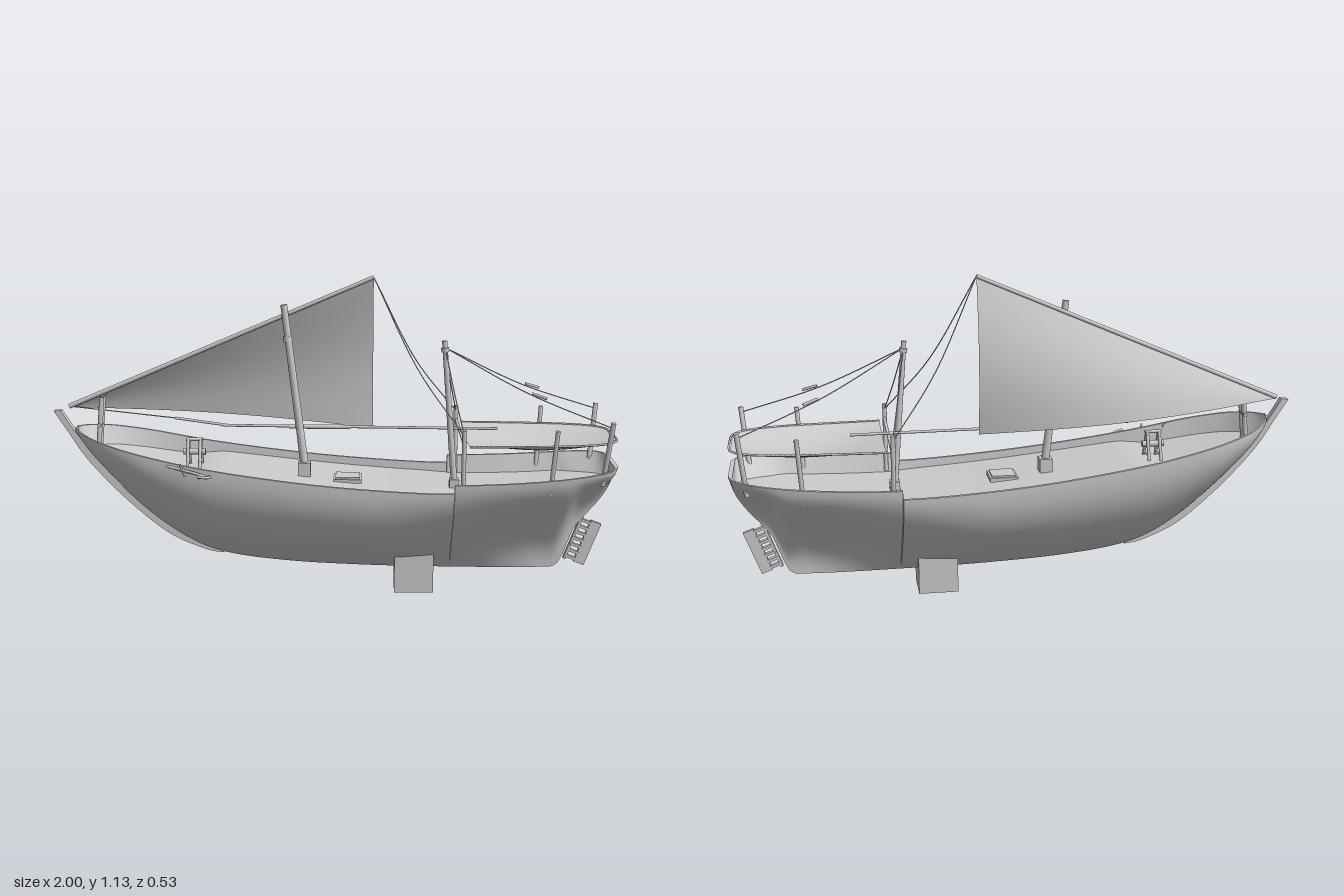
import * as THREE from 'three';
import { toCreasedNormals } from 'three/addons/utils/BufferGeometryUtils.js';

const CZ = -0.022; // centreline of the boat
const mat = new THREE.MeshStandardMaterial({ color: 0xcccccc });
const thin = new THREE.MeshStandardMaterial({ color: 0xcccccc, side: THREE.DoubleSide });
const V = (x, y, z) => new THREE.Vector3(x, y, z);
const lerp = THREE.MathUtils.lerp;

// Smooth function through [x, y] points
function curve(pts) {
  const slope = i => {
    const a = pts[Math.max(i - 1, 0)], b = pts[Math.min(i + 1, pts.length - 1)];
    return (b[1] - a[1]) / (b[0] - a[0]);
  };
  return x => {
    let i = 0;
    while (i < pts.length - 2 && x > pts[i + 1][0]) i++;
    const [x0, y0] = pts[i], [x1, y1] = pts[i + 1], h = x1 - x0;
    const t = THREE.MathUtils.clamp((x - x0) / h, 0, 1), t2 = t * t, t3 = t2 * t;
    return y0 * (2 * t3 - 3 * t2 + 1) + y1 * (3 * t2 - 2 * t3)
      + h * (slope(i) * (t3 - 2 * t2 + t) + slope(i + 1) * (t3 - t2));
  };
}

// Surface from rows of points
function loft(rows) {
  const n = rows[0].length, pos = [], idx = [];
  rows.forEach(r => r.forEach(p => pos.push(p.x, p.y, p.z)));
  for (let i = 0; i < rows.length - 1; i++) for (let j = 0; j < n - 1; j++) {
    const a = i * n + j, b = a + n;
    idx.push(a, b, a + 1, b, b + 1, a + 1);
  }
  const g = new THREE.BufferGeometry();
  g.setAttribute('position', new THREE.Float32BufferAttribute(pos, 3));
  g.setIndex(idx);
  g.computeVertexNormals();
  return g;
}
const grid = (nu, nv, fn) => loft(Array.from({ length: nu + 1 }, (_, i) =>
  Array.from({ length: nv + 1 }, (_, j) => fn(i / nu, j / nv))));

// Hull lines
const keel = curve([[-0.925, 0.572], [-0.85, 0.47], [-0.7, 0.31], [-0.55, 0.195], [-0.42, 0.135], [-0.2, 0.1], [0.1, 0.083],
  [0.4, 0.078], [0.76, 0.08], [0.81, 0.092], [0.84, 0.155], [0.86, 0.215], [0.9, 0.27], [0.95, 0.33], [0.985, 0.385], [1, 0.43]]);
const baseSheer = curve([[-0.925, 0.59], [-0.7, 0.54], [-0.45, 0.49], [-0.1, 0.443], [0.2, 0.418], [0.42, 0.41], [0.7, 0.42], [1, 0.447]]);
const sheer = x => baseSheer(x) + (x > 0.42 ? 0.03 : 0);
const width = curve([[-0.925, 0.012], [-0.9, 0.065], [-0.85, 0.125], [-0.8, 0.162], [-0.7, 0.2], [-0.6, 0.216], [-0.4, 0.23],
  [0, 0.241], [0.4, 0.238], [0.7, 0.226], [0.85, 0.21], [0.95, 0.175], [0.985, 0.135], [1, 0.09]]);
const hollow = curve([[-1, 0], [0.1, 0], [0.4, 0.35], [0.75, 1], [0.88, 0.95], [1, 0.6]]);
const deckDrop = curve([[-0.925, 0.065], [-0.55, 0.06], [-0.4, 0.032], [0.3, 0.03], [0.42, 0.035]]);
const deckY = x => Math.min(sheer(x) - 0.005, Math.max(keel(x) + 0.015, baseSheer(x) - deckDrop(x)));
function halfBreadth(x, t) {
  const full = 1 - Math.pow(1 - t, 2.2), s = Math.pow(t, 1.2);
  const f = lerp(full, s * s * (3 - 2 * s), THREE.MathUtils.clamp(hollow(x), 0, 1));
  return 0.01 + Math.max(0, width(x) - 0.01) * f;
}
function section(x, shut = 1) {
  const k = keel(x), s = sheer(x), d = deckY(x), half = [];
  for (let j = 0; j <= 18; j++) half.push([x, lerp(k, s, j / 18), halfBreadth(x, j / 18)]);
  const xi = THREE.MathUtils.clamp(x, -0.915, 0.985);
  half.push([xi, s, Math.max(0, width(x) - 0.012)]);
  half.push([xi, d, Math.max(0, halfBreadth(x, (d - k) / (s - k)) - 0.012)], [xi, d, 0]);
  const side = m => half.map(p => V(p[0], p[1], CZ + m * shut * p[2]));
  return [...side(-1).reverse(), ...side(1)];
}

export function createModel() {
  const boat = new THREE.Group();
  boat.name = 'sailingBoat';
  const add = (name, geo, m = mat, parent = boat) => {
    const mesh = new THREE.Mesh(geo, m);
    mesh.name = name;
    parent.add(mesh);
    return mesh;
  };
  const box = (name, w, h, d, x, y, z, parent) => {
    const b = add(name, new THREE.BoxGeometry(w, h, d), mat, parent);
    b.position.set(x, y, z);
    return b;
  };
  const rod = (name, a, b, r, r2 = r) => {
    const m = add(name, new THREE.CylinderGeometry(r2, r, a.distanceTo(b), 12));
    m.position.copy(a).add(b).multiplyScalar(0.5);
    m.quaternion.setFromUnitVectors(V(0, 1, 0), b.clone().sub(a).normalize());
    return m;
  };
  const tube = (name, pts, r, n = 24) =>
    add(name, new THREE.TubeGeometry(new THREE.CatmullRomCurve3(pts), n, r, 6));
  const rope = (name, a, b, sag = 0.02) => {
    const mid = a.clone().lerp(b, 0.5);
    mid.y -= sag;
    tube(name, [a, mid, b], 0.002);
  };

  // Hull, bulwark and deck
  const xs = [0.419, 0.421];
  for (let i = 0; i <= 90; i++) xs.push(lerp(-0.925, 1, (i / 90 + (1 - Math.cos(Math.PI * i / 90)) / 2) / 2));
  xs.sort((a, b) => a - b);
  const rows = xs.map(x => section(x));
  rows.push(section(1, 0));
  add('hullAndDeck', toCreasedNormals(loft(rows), 0.7), thin);

  // Stem post along the bow
  const stem = new THREE.Shape();
  stem.moveTo(-0.975, 0.65);
  stem.splineThru([[-0.92, 0.565], [-0.84, 0.475], [-0.69, 0.315], [-0.54, 0.2], [-0.4, 0.14]].map(p => new THREE.Vector2(...p)));
  stem.lineTo(-0.4, 0.126);
  stem.splineThru([[-0.47, 0.14], [-0.6, 0.2], [-0.75, 0.325], [-0.88, 0.465], [-0.95, 0.57], [-1, 0.648]].map(p => new THREE.Vector2(...p)));
  add('stemPost', new THREE.ExtrudeGeometry(stem, { depth: 0.026, bevelEnabled: false, curveSegments: 8 })).position.z = CZ - 0.013;

  // Rudder with its rungs
  const rudder = new THREE.Group();
  rudder.name = 'rudder';
  rudder.position.set(0.898, 0.178, CZ);
  rudder.rotation.z = -0.36;
  boat.add(rudder);
  box('rudderBlade', 0.04, 0.165, 0.014, 0.022, 0, 0, rudder);
  box('rudderPost', 0.01, 0.17, 0.018, -0.033, 0, 0, rudder);
  for (let i = 0; i < 7; i++) box('rudderRung', 0.04, 0.01, 0.02, -0.013, -0.072 + i * 0.024, 0, rudder);

  box('standBlock', 0.14, 0.145, 0.145, 0.29, 0.0725, -0.018);

  // Masts and spars
  rod('mainMast', V(-0.098, 0.4, CZ), V(-0.175, 1.03, CZ), 0.015, 0.012);
  rod('mizzenMast', V(0.435, 0.37, CZ), V(0.39, 0.905, CZ), 0.012, 0.009);
  rod('mizzenBand', V(0.394, 0.865, CZ), V(0.392, 0.88, CZ), 0.014);
  rod('mastBand', V(-0.161, 0.9, CZ), V(-0.163, 0.92, CZ), 0.016);
  box('mastStep', 0.045, 0.05, 0.05, -0.105, 0.44, CZ);
  box('mizzenStep', 0.035, 0.03, 0.04, 0.433, 0.39, CZ);
  const tack = V(-0.95, 0.66, -0.042), peak = V(0.14, 1.125, -0.042);
  rod('yard', tack, peak, 0.009, 0.007);
  rod('boom', V(-0.4, 0.592, -0.046), V(0.585, 0.585, -0.046), 0.005);
  rod('boomSleeve', V(-0.16, 0.589, -0.046), V(0.06, 0.588, -0.046), 0.008);
  rod('boomTip', V(-0.57, 0.618, -0.046), V(-0.38, 0.592, -0.046), 0.005);
  rope('footRope', tack, V(-0.57, 0.618, -0.046), 0);

  // Triangular sail bellying to one side
  add('sail', grid(32, 20, (u, v) => {
    const a = tack.clone().lerp(peak, u);
    const foot = V(lerp(-0.95, 0.14, u), lerp(0.656, 0.577, u), -0.045 - 0.035 * u - 0.078 * Math.sin(Math.PI * u));
    const p = a.lerp(foot, v);
    p.z -= 0.035 * u * Math.sin(Math.PI * v);
    return p;
  }), thin);

  // Sagging canopy with edge rail
  const cw = x => width(x) - 0.025, x0 = 0.47, x1 = 0.99;
  add('canopy', grid(24, 16, (u, v) => {
    const x = lerp(x0, x1, Math.sin(u * Math.PI / 2)), s = 2 * v - 1;
    return V(x, 0.57 - 0.035 * Math.sin(Math.PI * (x - x0) / (x1 - x0)) * (1 - s * s) - 0.012 * (1 - s * s), CZ + s * cw(x));
  }), thin);
  const edge = [];
  for (let i = 0; i <= 10; i++) edge.push(lerp(x0, x1, Math.sin(i / 10 * Math.PI / 2)));
  tube('canopyEdge', [...edge.map(x => V(x, 0.57, CZ - cw(x))), ...edge.reverse().map(x => V(x, 0.57, CZ + cw(x)))], 0.004, 80);
  rod('canopyCrossbar', V(0.452, 0.577, CZ - 0.23), V(0.452, 0.577, CZ + 0.23), 0.006);

  // Canopy posts and rigging on both sides
  const head = V(0.393, 0.88, CZ);
  for (const s of [-1, 1]) {
    const z = d => CZ + s * d;
    rod('frontPost', V(0.45, 0.38, z(0.212)), V(0.45, 0.63, z(0.224)), 0.008);
    rod('middlePost', V(0.75, 0.4, z(0.2)), V(0.766, 0.63, z(0.224)), 0.008);
    rod('aftPost', V(0.937, 0.42, z(0.15)), V(0.96, 0.65, z(0.18)), 0.009);
    rope('peakStay', peak, V(0.45, 0.61, z(0.222)), 0.05);
    rope('mizzenShroud', head, V(0.45, 0.61, z(0.222)), 0.01);
    rope('aftStay', head, V(0.96, 0.63, z(0.178)), 0.02);
    rod('stayBlock', V(0.69, 0.736, z(0.098)), V(0.74, 0.72, z(0.112)), 0.005);

    // Bow bitt and windlass frame
    rod('bowBitt', V(-0.845, 0.49, z(0.016)), V(-0.825, 0.7, z(0.016)), 0.009);
    const wx = -0.5 + s * 0.022;
    for (const t of [-1, 1]) rod('windlassLeg', V(wx, 0.435, CZ + t * 0.045), V(wx, 0.545, CZ + t * 0.004), 0.006);
    rod('windlassBrace', V(wx, 0.465, CZ - 0.034), V(wx, 0.465, CZ + 0.034), 0.005);
  }
  rod('bowBittCrosspiece', V(-0.835, 0.6, CZ - 0.03), V(-0.835, 0.6, CZ + 0.03), 0.007);
  rod('windlassDrum', V(-0.54, 0.5, CZ), V(-0.46, 0.5, CZ), 0.012);
  rod('windlassHead', V(-0.53, 0.545, CZ), V(-0.47, 0.545, CZ), 0.006);

  // Deck hatch
  box('hatchCoaming', 0.1, 0.014, 0.1, 0.05, deckY(0.05) + 0.004, CZ);
  box('hatchLid', 0.085, 0.008, 0.085, 0.05, deckY(0.05) + 0.013, CZ);

  // Anchor hung over the side
  rod('anchorShank', V(-0.6, 0.505, 0.185), V(-0.42, 0.47, 0.232), 0.005);
  rod('anchorStock', V(-0.52, 0.51, 0.215), V(-0.505, 0.465, 0.2), 0.004);
  tube('anchorArms', [V(-0.455, 0.478, 0.262), V(-0.425, 0.472, 0.25), V(-0.415, 0.47, 0.232), V(-0.43, 0.465, 0.213), V(-0.46, 0.462, 0.205)], 0.005);
  const ring = add('anchorRing', new THREE.TorusGeometry(0.012, 0.003, 6, 16));
  ring.position.set(-0.605, 0.506, 0.183);
  return boat;
}
